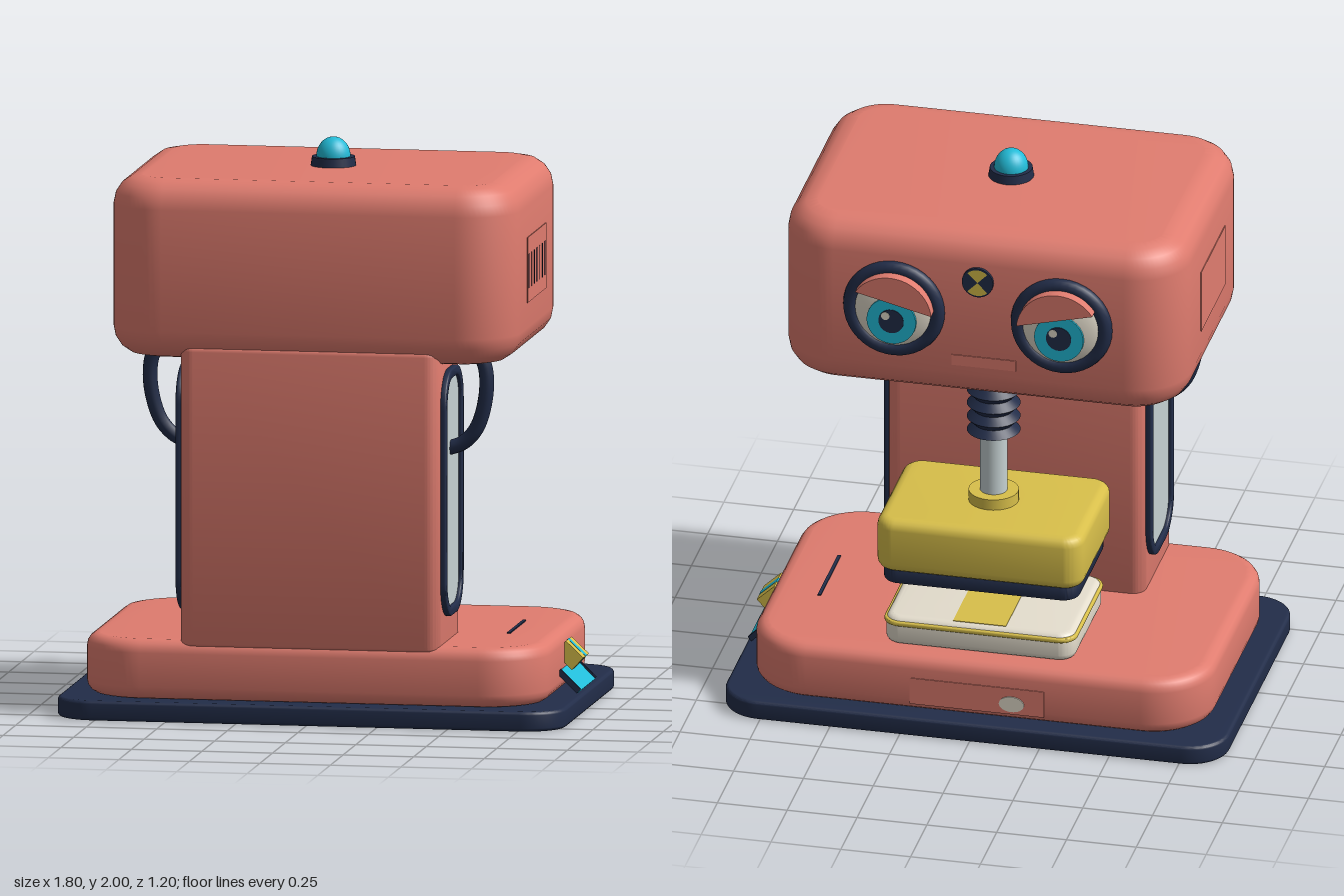
import * as THREE from 'three';
import { toCreasedNormals } from 'three/addons/utils/BufferGeometryUtils.js';

const paint = (name, color) => {
  const m = new THREE.MeshStandardMaterial({ color });
  m.name = name;
  return m;
};

function roundedRect(path, w, h, r) {
  const x = w / 2 - r, y = h / 2 - r;
  path.absarc(x, y, r, 0, Math.PI / 2);
  path.absarc(-x, y, r, Math.PI / 2, Math.PI);
  path.absarc(-x, -y, r, Math.PI, Math.PI * 1.5);
  path.absarc(x, -y, r, Math.PI * 1.5, Math.PI * 2);
  path.closePath();
  return path;
}

// Upright rounded slab resting on y = 0, with an optional opening of the given border width
function slab(w, d, h, r, bevel, border = 0) {
  const shape = roundedRect(new THREE.Shape(), w, d, r);
  if (border) shape.holes.push(roundedRect(new THREE.Path(), w - 2 * border, d - 2 * border, r - border));
  const geo = new THREE.ExtrudeGeometry(shape, {
    depth: h - 2 * bevel, curveSegments: 8, bevelEnabled: bevel > 0,
    bevelThickness: bevel, bevelSize: bevel, bevelOffset: -bevel, bevelSegments: 4,
  });
  geo.translate(0, 0, bevel).rotateX(-Math.PI / 2);
  return toCreasedNormals(geo, 0.6);
}

export function createModel() {
  const model = new THREE.Group();
  model.name = 'pressMachine';
  const coral = paint('coral', 0xe07c6f);
  const navy = paint('navy', 0x222d49);
  const gold = paint('gold', 0xd8bf4a);
  const cyan = paint('cyan', 0x22bcd8);
  const steel = paint('steel', 0xc6d2d3);
  const bone = paint('bone', 0xe4ddcd);

  const add = (name, geo, mat, x = 0, y = 0, z = 0, parent = model) => {
    const mesh = new THREE.Mesh(geo, mat);
    mesh.name = name;
    mesh.position.set(x, y, z);
    parent.add(mesh);
    return mesh;
  };
  const box = (w, h, d) => new THREE.BoxGeometry(w, h, d);
  const disc = (r, depth) => new THREE.CylinderGeometry(r, r, depth, 32).rotateX(Math.PI / 2);

  // Body
  add('footPlate', slab(1.8, 1.2, 0.07, 0.14, 0.012), navy);
  add('base', slab(1.64, 1.09, 0.21, 0.22, 0.045), coral, 0, 0.07, 0);
  add('column', slab(0.92, 0.44, 1.06, 0.05, 0.02), coral, 0, 0.26, 0.325);
  add('head', slab(1.44, 1.02, 0.63, 0.2, 0.1), coral, 0, 1.27, 0.05);

  // Top lamp
  add('lampCollar', new THREE.CylinderGeometry(0.075, 0.08, 0.035, 32), navy, 0, 1.914, 0.05);
  add('lampDome', new THREE.SphereGeometry(0.06, 32, 12, 0, Math.PI * 2, 0, Math.PI / 2).scale(1, 1.15, 1), cyan, 0, 1.931, 0.05);

  // Side windows, cables and head vents
  for (const s of [1, -1]) {
    const turn = -s * Math.PI / 2;
    add('windowFrame', slab(0.87, 0.355, 0.025, 0.13, 0.006, 0.034).rotateZ(turn), navy, s * 0.455, 0.805, 0.323);
    add('windowPane', slab(0.82, 0.305, 0.009, 0.11, 0).rotateZ(turn), steel, s * 0.458, 0.805, 0.323);
    const path = new THREE.CatmullRomCurve3([
      [0.55, 1.33, 0.35], [0.59, 1.25, 0.347], [0.594, 1.15, 0.345],
      [0.56, 1.03, 0.337], [0.51, 0.975, 0.332], [0.46, 0.955, 0.33],
    ].map(([x, y, z]) => new THREE.Vector3(s * x, y, z)));
    add('cable', new THREE.TubeGeometry(path, 32, 0.026, 12), navy);
    add('headSidePanel', box(0.006, 0.23, 0.37), coral, s * 0.72, 1.575, 0.055);
  }
  for (const z of [0.22, 0.167, 0.115, 0.063, 0.01, -0.042, -0.095]) {
    add('ventSlot', box(0.006, 0.12, 0.008), navy, 0.7215, 1.57, z);
  }

  // Press: bellows, rod, block and pad
  const ram = new THREE.Group();
  ram.name = 'pressRam';
  ram.position.z = -0.22;
  model.add(ram);
  add('bellowsCollar', new THREE.CylinderGeometry(0.1, 0.1, 0.03, 32), cyan, 0, 1.262, 0, ram);
  const folds = [new THREE.Vector2(0, 1.04)];
  for (let i = 0; i <= 8; i++) folds.push(new THREE.Vector2(i % 2 ? 0.068 : 0.094, 1.04 + i * 0.026));
  folds.push(new THREE.Vector2(0, 1.25));
  add('bellows', toCreasedNormals(new THREE.LatheGeometry(folds, 32), 0.5), navy, 0, 0, 0, ram);
  add('rod', new THREE.CylinderGeometry(0.048, 0.048, 0.3, 32), steel, 0, 0.91, 0, ram);
  add('rodCollar', new THREE.CylinderGeometry(0.088, 0.088, 0.05, 32), gold, 0, 0.78, 0, ram);
  add('pressBlock', slab(0.74, 0.515, 0.2, 0.07, 0.035), gold, 0, 0.565, 0, ram);
  add('pressPad', slab(0.7, 0.47, 0.06, 0.06, 0.008), navy, 0, 0.515, 0, ram);

  // Tray
  add('trayBody', slab(0.68, 0.49, 0.105, 0.06, 0.025), bone, 0, 0.28, -0.22);
  add('trayRim', slab(0.69, 0.5, 0.018, 0.06, 0.006, 0.02), gold, 0, 0.355, -0.22);
  add('trayBand', box(0.19, 0.006, 0.44), gold, 0, 0.384, -0.22);

  // Eyes with slanted lids
  for (const s of [1, -1]) {
    const eye = new THREE.Group();
    eye.name = s > 0 ? 'leftEye' : 'rightEye';
    eye.position.set(s * 0.3, 1.6, -0.46);
    model.add(eye);
    add('eyeRing', new THREE.TorusGeometry(0.155, 0.027, 12, 40), navy, 0, 0, -0.005, eye);
    add('eyeBall', new THREE.SphereGeometry(0.15, 32, 16).scale(1, 1, 0.29), bone, 0, 0, -0.004, eye);
    add('iris', disc(0.088, 0.02), cyan, 0, -0.03, -0.04, eye);
    add('pupil', disc(0.045, 0.006), navy, 0, -0.03, -0.05, eye);
    add('eyeGlint', disc(0.015, 0.006), bone, 0.02, -0.01, -0.052, eye);
    const lidShape = new THREE.Shape();
    lidShape.absarc(0, 0, 0.148, 0.33, Math.PI - 0.33);
    lidShape.closePath();
    const lidGeo = new THREE.ExtrudeGeometry(lidShape, { depth: 0.065, bevelEnabled: false, curveSegments: 24 });
    const lid = add('eyelid', toCreasedNormals(lidGeo, 0.6), coral, 0, 0, -0.07, eye);
    lid.rotation.z = s * 0.24;
  }

  // Round badge with two painted sectors
  add('badge', disc(0.056, 0.016), navy, 0, 1.735, -0.463);
  for (const a of [Math.PI / 4, Math.PI * 1.25]) {
    add('badgeSector', new THREE.CircleGeometry(0.05, 16, a, Math.PI / 2).rotateY(Math.PI), gold, 0, 1.735, -0.4725);
  }
  add('mouthPanel', box(0.23, 0.04, 0.006), coral, -0.02, 1.42, -0.46);

  // Base front panel and button, slot on the base top
  add('basePanel', box(0.48, 0.1, 0.006), coral, -0.015, 0.15, -0.545);
  add('baseButton', disc(0.045, 0.01).scale(1, 0.65, 1), bone, -0.14, 0.14, -0.547);
  add('baseSlot', box(0.012, 0.008, 0.31), navy, 0.64, 0.28, 0);

  // Tilted latch on the left side of the base
  const flap = add('latchFlap', box(0.1, 0.012, 0.3), cyan, 0.853, 0.115, 0);
  flap.rotation.z = -0.78;
  for (const s of [1, -1]) {
    const end = add('latchEnd', box(0.1, 0.02, 0.012), navy, 0.853, 0.117, s * 0.152);
    end.rotation.z = -0.78;
  }
  const latch = new THREE.Group();
  latch.name = 'latchHandle';
  latch.position.set(0.835, 0.193, 0);
  latch.rotation.z = -0.75;
  model.add(latch);
  add('latchBlock', box(0.085, 0.06, 0.11), gold, 0, 0, 0, latch);
  add('latchStripe', box(0.087, 0.062, 0.03), cyan, 0, 0, 0, latch);

  return model;
}
